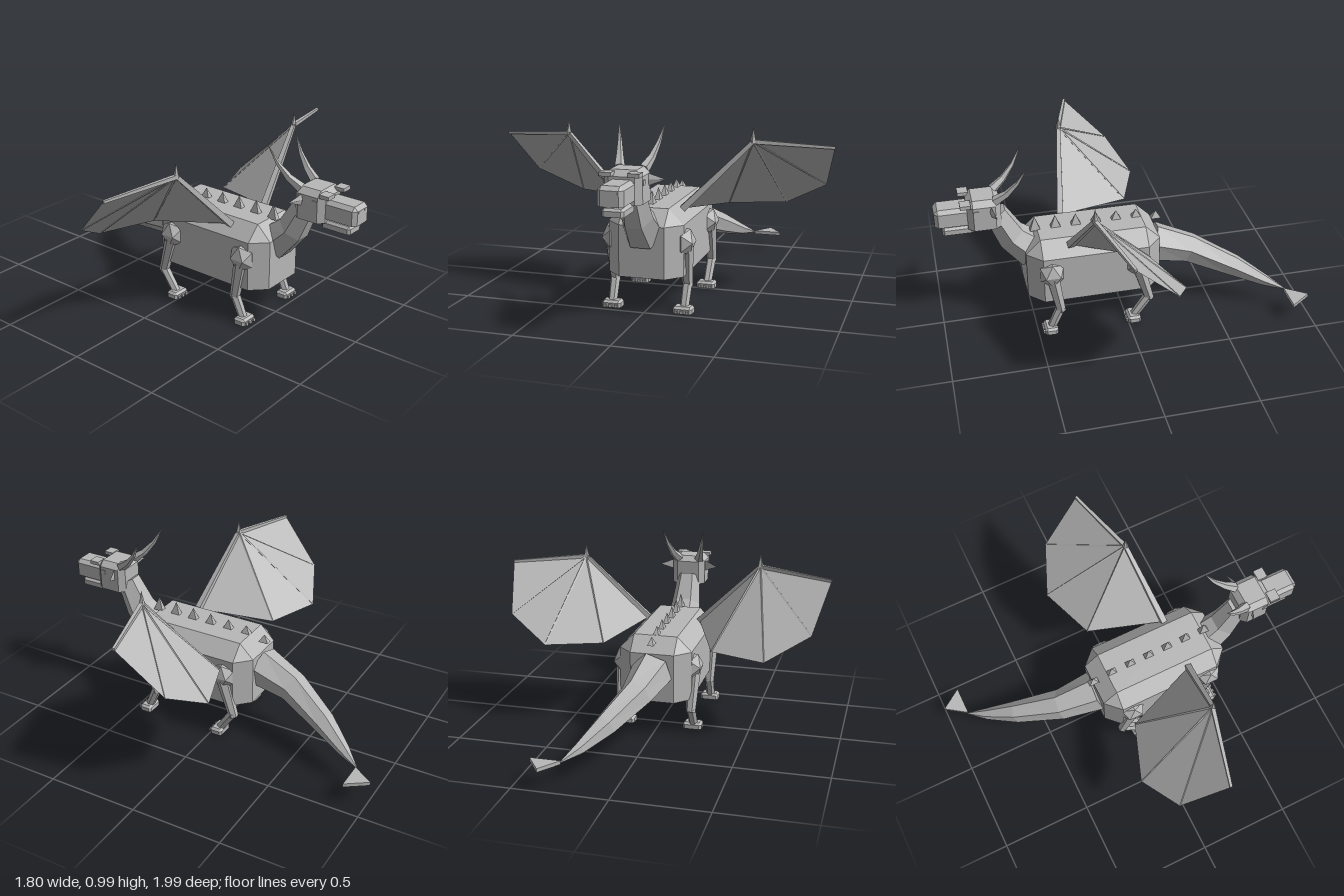
import * as THREE from 'three';

const hide = new THREE.MeshStandardMaterial({ color: 0xb8b8b8, flatShading: true, side: THREE.DoubleSide });
hide.name = 'grey hide';

const V = (p) => new THREE.Vector3(...p);

function add(parent, name, geometry, position = [0, 0, 0]) {
  const mesh = new THREE.Mesh(geometry, hide);
  mesh.name = name;
  mesh.position.set(...position);
  parent.add(mesh);
  return mesh;
}

// Skin a list of equal-length rings of points, with optional flat end caps
function skin(rings, capStart = true, capEnd = true) {
  const pos = [];
  const tri = (...pts) => pts.forEach((p) => pos.push(p.x, p.y, p.z));
  const n = rings[0].length;
  for (let i = 0; i < rings.length - 1; i++) {
    for (let j = 0; j < n; j++) {
      const k = (j + 1) % n;
      tri(rings[i][j], rings[i][k], rings[i + 1][k]);
      tri(rings[i][j], rings[i + 1][k], rings[i + 1][j]);
    }
  }
  const last = rings[rings.length - 1];
  for (let j = 1; j < n - 1; j++) {
    if (capStart) tri(rings[0][0], rings[0][j + 1], rings[0][j]);
    if (capEnd) tri(last[0], last[j], last[j + 1]);
  }
  const g = new THREE.BufferGeometry();
  g.setAttribute('position', new THREE.Float32BufferAttribute(pos, 3));
  g.computeVertexNormals();
  return g;
}

// Tapered limb through points [x, y, z, radius]
function limb(path, sides = 6, turn = 0) {
  const c = path.map((p) => V(p.slice(0, 3)));
  const rings = c.map((p, i) => {
    const t = c[Math.min(i + 1, c.length - 1)].clone().sub(c[Math.max(i - 1, 0)]).normalize();
    const s = new THREE.Vector3(0, 1, 0).cross(t).normalize();
    const n = t.clone().cross(s);
    return Array.from({ length: sides }, (_, j) => {
      const a = turn + (j / sides) * Math.PI * 2;
      return p.clone().addScaledVector(s, Math.cos(a) * path[i][3]).addScaledVector(n, Math.sin(a) * path[i][3]);
    });
  });
  return skin(rings);
}

// Block with bevelled upright corners and a bevelled top
function block(hx, z0, z1, y0, y1, bevel, closed = true) {
  const mid = (z0 + z1) / 2, hz = (z1 - z0) / 2;
  const ring = (y, out) => {
    const a = hx - bevel, b = hz - bevel;
    return [[a + out, b], [a + out, -b], [a, -b - out], [-a, -b - out],
      [-a - out, -b], [-a - out, b], [-a, b + out], [a, b + out]].map(([x, z]) => new THREE.Vector3(x, y, mid + z));
  };
  return skin([ring(y0, bevel), ring(y1 - bevel, bevel), ring(y1, 0)], closed, true);
}

function buildHead() {
  const head = new THREE.Group();
  head.name = 'head';
  add(head, 'skull', block(0.095, 0.645, 0.82, 0.635, 0.8, 0.03));
  add(head, 'snout', block(0.065, 0.8, 0.99, 0.66, 0.757, 0.02));
  add(head, 'lowerJaw', block(0.055, 0.79, 0.955, 0.605, 0.645, 0.012));
  for (const s of [1, -1]) {
    const side = new THREE.Group();
    side.name = s > 0 ? 'leftHeadParts' : 'rightHeadParts';
    side.scale.x = s;
    head.add(side);
    add(side, 'horn', limb([[0.062, 0.785, 0.67, 0.028], [0.082, 0.83, 0.61, 0.02],
      [0.1, 0.895, 0.555, 0.012], [0.12, 0.988, 0.505, 0.001]], 5));
    add(side, 'brow', new THREE.BoxGeometry(0.06, 0.02, 0.055), [0.07, 0.785, 0.828]);
    add(side, 'nostril', new THREE.BoxGeometry(0.02, 0.012, 0.008), [0.028, 0.73, 0.987]);
    add(side, 'eye', new THREE.BoxGeometry(0.008, 0.025, 0.03), [0.095, 0.74, 0.775]);
    add(side, 'ear', skin([
      [V([0.09, 0.772, 0.698]), V([0.09, 0.708, 0.698]), V([0.09, 0.74, 0.706])],
      [V([0.17, 0.742, 0.675]), V([0.17, 0.738, 0.675]), V([0.17, 0.74, 0.676])],
    ]));
  }
  return head;
}

function buildLeg(name, hip, knee, ankle) {
  const leg = new THREE.Group();
  leg.name = name;
  const shoulder = add(leg, 'shoulder', new THREE.IcosahedronGeometry(1, 0), [0.19, 0.37, hip]);
  shoulder.scale.set(0.062, 0.08, 0.075);
  add(leg, 'upperLeg', limb([[0.2, 0.35, hip, 0.038], [0.197, 0.125, knee, 0.027]]));
  add(leg, 'lowerLeg', limb([[0.197, 0.15, knee, 0.027], [0.195, 0.025, ankle, 0.024]]));
  add(leg, 'foot', block(0.052, ankle - 0.03, ankle + 0.042, 0, 0.036, 0.012)).position.x = 0.192;
  for (const dx of [-0.03, 0, 0.03]) {
    add(leg, 'claw', new THREE.BoxGeometry(0.016, 0.016, 0.02), [0.192 + dx, 0.011, ankle + 0.042]);
  }
  return leg;
}

function buildWing() {
  const wing = new THREE.Group();
  wing.name = 'wing';
  const root = [0.15, 0.515, 0.3], elbow = [0.5, 0.87, 0.235], tip = [0.9, 0.84, 0.13];
  const fingers = [[0.3, 0.47, -0.1], [0.6, 0.47, -0.21], [0.83, 0.6, -0.105]];
  // Membrane fans out from the elbow
  const rim = [root, ...fingers, tip];
  const pos = [];
  for (let i = 0; i < rim.length - 1; i++) pos.push(...elbow, ...rim[i + 1], ...rim[i]);
  const g = new THREE.BufferGeometry();
  g.setAttribute('position', new THREE.Float32BufferAttribute(pos, 3));
  g.computeVertexNormals();
  add(wing, 'membrane', g);
  add(wing, 'armBone', limb([[...root, 0.024], [...elbow, 0.015]], 4, Math.PI / 4));
  add(wing, 'outerBone', limb([[...elbow, 0.015], [...tip, 0.01]], 4, Math.PI / 4));
  for (const f of fingers) add(wing, 'fingerBone', limb([[...elbow, 0.007], [...f, 0.004]], 4));
  add(wing, 'wingClaw', new THREE.ConeGeometry(0.017, 0.08, 5), [0.5, 0.905, 0.235]);
  return wing;
}

export function createModel() {
  const model = new THREE.Group();
  model.name = 'dragon';

  // Trunk, open underneath
  add(model, 'body', block(0.2, -0.2, 0.535, 0.195, 0.545, 0.08, false));
  add(model, 'neck', limb([[0, 0.42, 0.485, 0.105], [0, 0.525, 0.595, 0.085], [0, 0.68, 0.672, 0.066]]));
  add(model, 'tail', limb([[0, 0.365, -0.19, 0.113], [0.03, 0.308, -0.4, 0.085],
    [0.13, 0.215, -0.635, 0.062], [0.215, 0.148, -0.79, 0.033], [0.278, 0.114, -0.89, 0.004]], 6, 0.73));

  // Flat triangular tail tip
  const tri = (y) => [[0.28, y, -0.885], [0.44, y, -0.885], [0.36, y, -1]].map(V);
  add(model, 'tailTip', skin([tri(0.1), tri(0.12)]));

  // Row of spines along the back
  for (let i = 0; i < 7; i++) {
    const h = 0.08 - i * 0.006, y = i === 6 ? 0.52 : 0.54;
    const spine = add(model, 'backSpine', new THREE.ConeGeometry(0.04, h, 4).rotateY(Math.PI / 4),
      [0, y + h / 2, 0.465 - i * 0.1115]);
    spine.scale.x = 0.6;
  }

  model.add(buildHead());
  for (const s of [1, -1]) {
    const half = new THREE.Group();
    half.name = s > 0 ? 'leftLimbs' : 'rightLimbs';
    half.scale.x = s;
    half.add(buildLeg('frontLeg', 0.41, 0.37, 0.425), buildLeg('backLeg', -0.06, -0.125, -0.04), buildWing());
    model.add(half);
  }
  return model;
}
